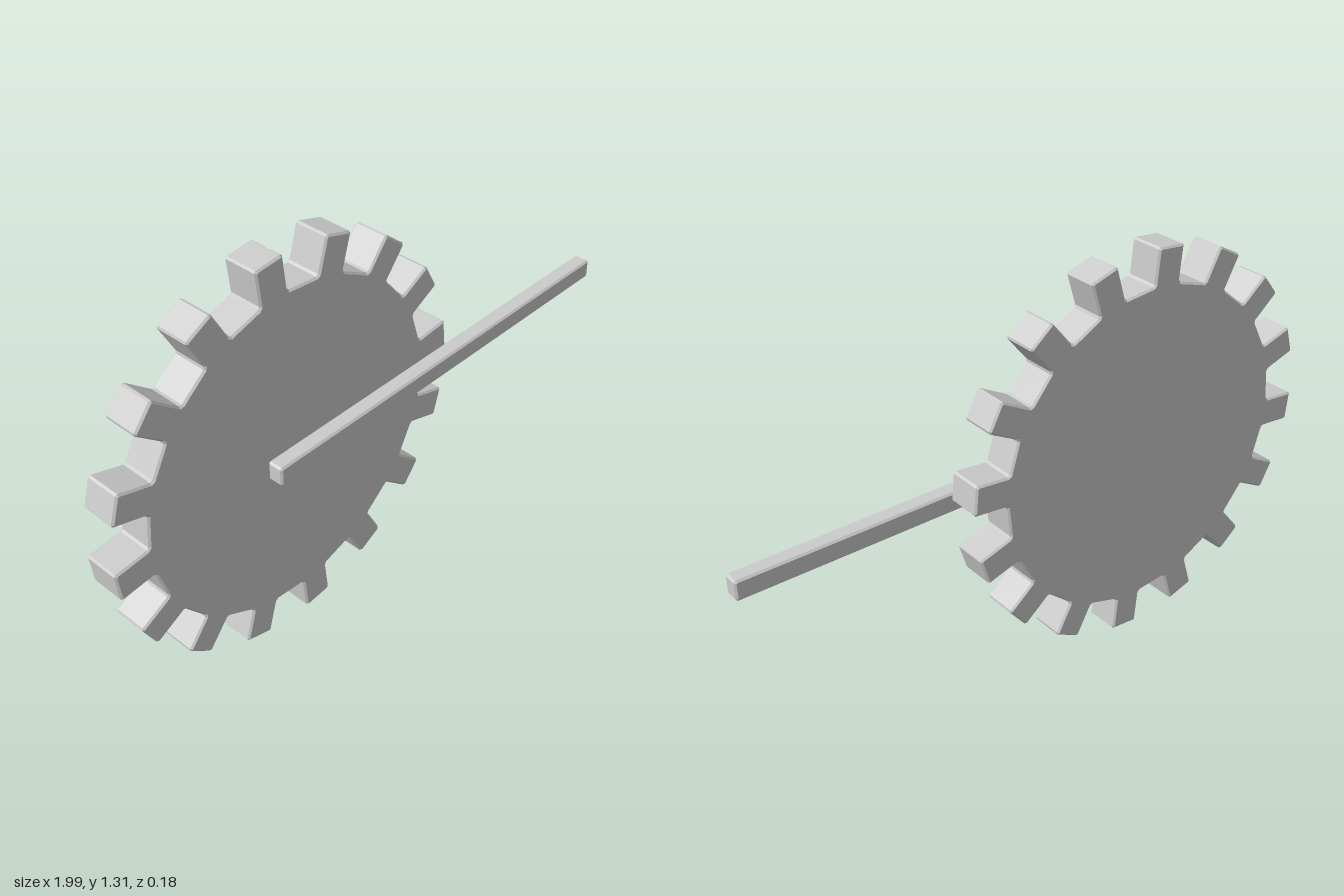
import * as THREE from 'three';

const BEVEL = 0.006;

// Closed outline with every corner cut off by a small chamfer
function chamferedShape(points, cut) {
  const out = [];
  points.forEach((p, i) => {
    const prev = points[(i + points.length - 1) % points.length];
    const next = points[(i + 1) % points.length];
    for (const q of [prev, next]) {
      out.push(p.clone().add(q.clone().sub(p).setLength(cut)));
    }
  });
  return new THREE.Shape(out);
}

// Solid plate between zBack and zFront with narrow bevelled rims
function plate(name, points, zBack, zFront, material) {
  const geometry = new THREE.ExtrudeGeometry(chamferedShape(points, BEVEL), {
    depth: zFront - zBack - 2 * BEVEL,
    bevelEnabled: true,
    bevelThickness: BEVEL,
    bevelSize: BEVEL,
    bevelOffset: -BEVEL,
    bevelSegments: 1,
  });
  geometry.translate(0, 0, zBack + BEVEL);
  const mesh = new THREE.Mesh(geometry, material);
  mesh.name = name;
  return mesh;
}

export function createModel() {
  const group = new THREE.Group();
  group.name = 'gearWithBar';
  const material = new THREE.MeshStandardMaterial({ color: 0xcccccc, flatShading: true });

  // Gear: straight-sided teeth joined by flat root chords
  const teeth = 16, halfWidth = 0.049, tip = 0.654, root = 0.537;
  const centre = new THREE.Vector2(-0.342, 0.66);
  const origin = new THREE.Vector2();
  const outline = [];
  for (let i = 0; i < teeth; i++) {
    const angle = THREE.MathUtils.degToRad(5.7) + (i * 2 * Math.PI) / teeth;
    for (const [r, w] of [[root, -halfWidth], [tip, -halfWidth], [tip, halfWidth], [root, halfWidth]]) {
      outline.push(new THREE.Vector2(r, w).rotateAround(origin, angle).add(centre));
    }
  }
  group.add(plate('gear', outline, -0.087, 0.03, material));

  // Bar: long square rod from the gear's centre region out past its rim
  const bar = [[-0.46, 0.63], [0.997, 0.63], [0.997, 0.695], [-0.46, 0.695]]
    .map(([x, y]) => new THREE.Vector2(x, y));
  group.add(plate('bar', bar, 0.036, 0.09, material));

  return group;
}
